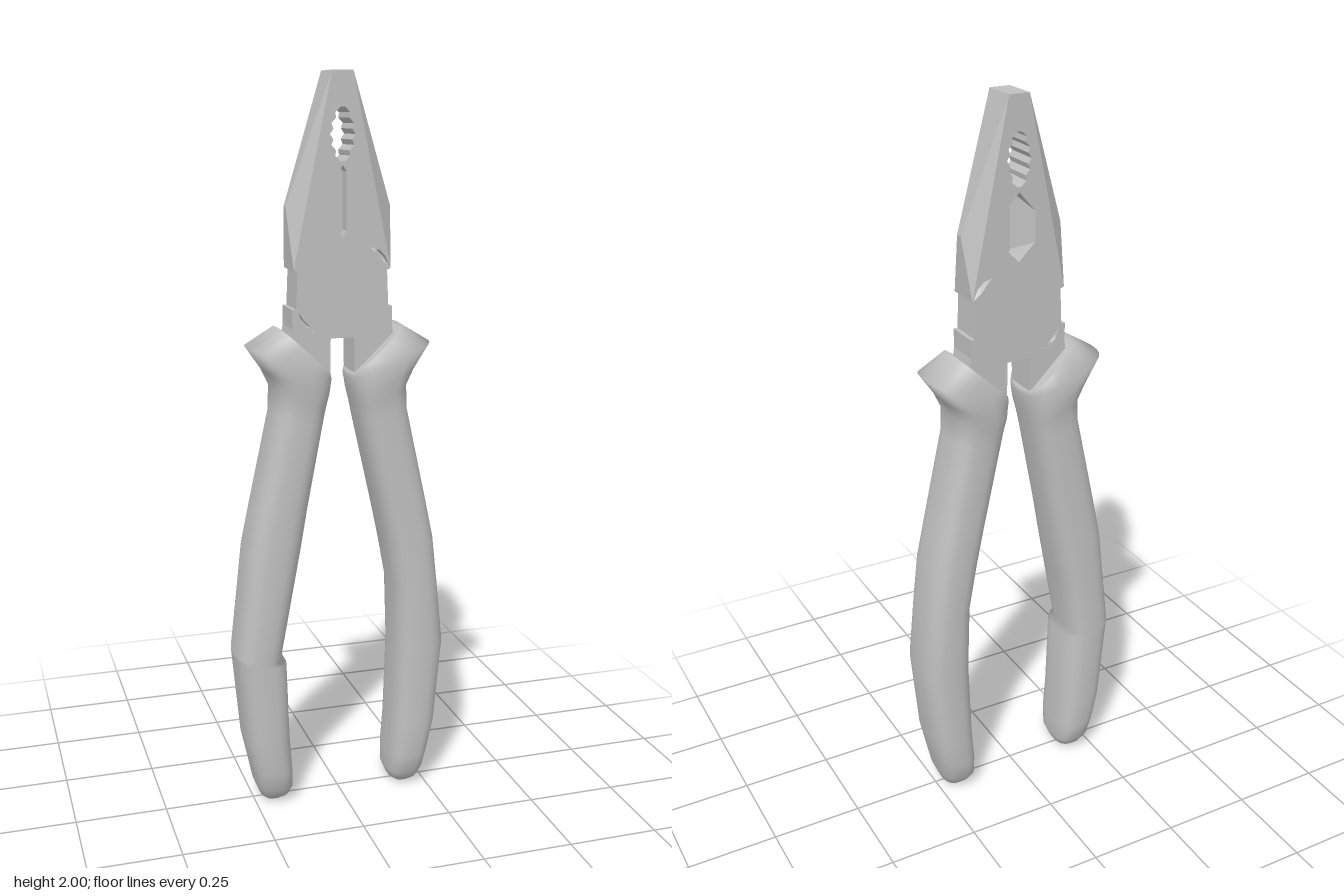
import * as THREE from 'three';

const steel = new THREE.MeshStandardMaterial({ color: 0xc0c0c0, side: THREE.DoubleSide });
steel.name = 'grey';
const D = 0.05; // half thickness of the steel head

// flat-shaded faces joining a row of loops (equal point counts); optional end cap
function loft(loops, closed = true, cap = false) {
  const pos = [];
  const n = loops[0].length;
  for (let k = 0; k + 1 < loops.length; k++) {
    for (let i = 0; i < (closed ? n : n - 1); i++) {
      const j = (i + 1) % n, a = loops[k], b = loops[k + 1];
      pos.push(...a[i], ...a[j], ...b[j], ...a[i], ...b[j], ...b[i]);
    }
  }
  if (cap) {
    const l = loops[loops.length - 1];
    for (let i = 1; i + 1 < n; i++) pos.push(...l[0], ...l[i], ...l[i + 1]);
  }
  const g = new THREE.BufferGeometry();
  g.setAttribute('position', new THREE.Float32BufferAttribute(pos, 3));
  g.computeVertexNormals();
  return g;
}

const at = (pts, z) => pts.map(([x, y]) => [x, y, z]);
const vec = pts => pts.map(p => new THREE.Vector2(p[0], p[1]));

function add(parent, name, geometry) {
  const m = new THREE.Mesh(geometry, steel);
  m.name = name;
  parent.add(m);
  return m;
}

function buildHead() {
  const head = new THREE.Group();
  head.name = 'head';

  // outline of the flat faces, right half mirrored to the left
  const half = [[0.028, 2], [0.132, 1.5], [0.122, 1.495], [0.126, 1.4], [0.137, 1.4], [0.137, 1.34], [0.1, 1.32]];
  const outline = [...half, ...half.map(([x, y]) => [-x, y]).reverse()];

  // toothed pipe grip, through the head
  const teeth = [];
  for (let i = 0; i <= 10; i++) {
    const t = i / 10;
    teeth.push([0.008 + 0.02 * Math.sin(Math.PI * t) + (i % 2 ? 0.006 : -0.002), 1.775 + 0.135 * t]);
  }
  const grip = [...teeth, ...teeth.map(([x, y]) => [-x, y]).reverse()];

  // cutter: narrow slot in front, wide hexagon behind
  const slot = [[0, 1.58], [0.01, 1.6], [0.01, 1.75], [0, 1.765], [-0.01, 1.75], [-0.01, 1.6]];
  const hex = [[0, 1.585], [0.046, 1.63], [0.046, 1.71], [0, 1.762], [-0.046, 1.71], [-0.046, 1.63]];

  // crescent clearances at the joint
  const crescents = [
    [[0.075, 1.555], [0.1, 1.548], [0.118, 1.53], [0.129, 1.503], [0.108, 1.518], [0.09, 1.54]],
    [[-0.12, 1.392], [-0.105, 1.37], [-0.088, 1.352], [-0.068, 1.34], [-0.09, 1.34], [-0.11, 1.362]],
  ];

  const face = (name, z, holes) => {
    const s = new THREE.Shape(vec(outline));
    s.holes = holes.map(h => new THREE.Path(vec(h)));
    add(head, name, new THREE.ShapeGeometry(s).translate(0, 0, z));
  };
  face('frontFace', D, [grip, slot, ...crescents]);
  face('backFace', -D, [grip, hex, ...crescents]);

  // rim, leaving out the two jaw flanks that carry the wedges
  add(head, 'jointRim', loft([at(outline.slice(1, 13), D), at(outline.slice(1, 13), -D)], false));
  add(head, 'jawTip', new THREE.PlaneGeometry(0.056, 2 * D).rotateX(-Math.PI / 2).translate(0, 2, 0));
  add(head, 'pipeGrip', loft([at(grip, -D), at(grip, D)]));
  add(head, 'cutterSlot', loft([at(slot, 0.015), at(slot, D)]));
  add(head, 'cutterBevel', loft([at(hex, -D), at(slot, 0.015)], true, true));
  for (const c of crescents) {
    for (const s of [1, -1]) {
      const inner = c.map((p, i) => [...c[i < 4 ? i : [2, 1][i - 4]], s * (D - 0.03)]);
      add(head, 'jointClearance', loft([at(c, s * D), inner], true, true));
    }
  }

  // faceted flanks of the jaws
  for (const s of [1, -1]) {
    const tip = z => [s * 0.028, 2, z], mid = z => [s * 0.142, 1.66, z], low = z => [s * 0.132, 1.5, z];
    add(head, 'jawFlank', loft([
      [tip(D), mid(0.01), low(D)],
      [tip(-D), mid(-0.01), low(-D)],
    ], false));
    add(head, 'jawBevel', loft([
      [tip(D), mid(0.01)], [low(D), low(D)],
    ], false));
    add(head, 'jawBevel', loft([
      [tip(-D), mid(-0.01)], [low(-D), low(-D)],
    ], false));

    // tang running down into the grip
    const tang = new THREE.Shape(vec([[0.032, 1.34], [0.135, 1.36], [0.15, 1.28], [0.12, 1.15], [0.06, 1.15], [0.034, 1.22]].map(([x, y]) => [s * x, y])));
    add(head, 'tang', new THREE.ExtrudeGeometry(tang, { depth: 2 * D - 0.002, bevelEnabled: false }).translate(0, 0, -D + 0.001));
  }
  return head;
}

// smooth sleeve from sections [inner x, inner y, outer x, outer y, half depth]
function buildGrip(name, side, sections) {
  const n = 28, pos = [], idx = [];
  const pw = (v, e) => Math.sign(v) * Math.abs(v) ** e;
  for (const [xi, yi, xo, yo, d] of sections) {
    for (let i = 0; i < n; i++) {
      const a = (i / n) * Math.PI * 2;
      const t = 0.5 + 0.5 * pw(Math.cos(a), 0.7);
      pos.push(side * (xi + (xo - xi) * t), yi + (yo - yi) * t, d * pw(Math.sin(a), 0.7));
    }
  }
  const rows = sections.length;
  for (let k = 0; k + 1 < rows; k++) {
    for (let i = 0; i < n; i++) {
      const a = k * n + i, b = k * n + (i + 1) % n;
      idx.push(a, b, a + n, b, b + n, a + n);
    }
  }
  for (const k of [0, rows - 1]) {
    const [xi, yi, xo, yo] = sections[k], c = pos.length / 3;
    pos.push(side * (xi + xo) / 2, (yi + yo) / 2, 0);
    for (let i = 0; i < n; i++) {
      const a = k * n + i, b = k * n + (i + 1) % n;
      if (k === 0) idx.push(c, b, a);
      else idx.push(c, a, b);
    }
  }
  if (side < 0) idx.reverse();
  const g = new THREE.BufferGeometry();
  g.setAttribute('position', new THREE.Float32BufferAttribute(pos, 3));
  g.setIndex(idx);
  g.computeVertexNormals();
  const m = new THREE.Mesh(g, steel);
  m.name = name;
  return m;
}

export function createModel() {
  const model = new THREE.Group();
  model.name = 'pliers';
  model.add(buildHead());

  // flared collar, and rounded foot, shared by both sleeves
  const collar = [
    [0.035, 1.225, 0.155, 1.342, 0.075], [0.028, 1.222, 0.168, 1.35, 0.088], [0.024, 1.21, 0.25, 1.3, 0.098],
    [0.032, 1.17, 0.205, 1.235, 0.098], [0.042, 1.13, 0.184, 1.19, 0.09], [0.05, 1.09, 0.187, 1.12, 0.086],
  ];
  const foot = [
    [0.15, 0.2, 0.278, 0.2, 0.09], [0.143, 0.1, 0.258, 0.11, 0.088], [0.141, 0.045, 0.247, 0.055, 0.075],
    [0.152, 0.018, 0.232, 0.018, 0.052], [0.17, 0.003, 0.217, 0.003, 0.03],
  ];
  model.add(buildGrip('leftGrip', 1, [...collar,
    [0.102, 0.86, 0.244, 0.86, 0.088], [0.128, 0.74, 0.267, 0.75, 0.09], [0.151, 0.62, 0.281, 0.62, 0.091],
    [0.157, 0.43, 0.3, 0.44, 0.092], ...foot]));
  // the other sleeve has a small step on its inner side
  model.add(buildGrip('rightGrip', -1, [...collar,
    [0.094, 0.86, 0.244, 0.86, 0.088], [0.115, 0.74, 0.267, 0.75, 0.09], [0.138, 0.62, 0.281, 0.62, 0.091],
    [0.174, 0.43, 0.3, 0.45, 0.092], [0.157, 0.42, 0.3, 0.44, 0.092], ...foot]));
  return model;
}
